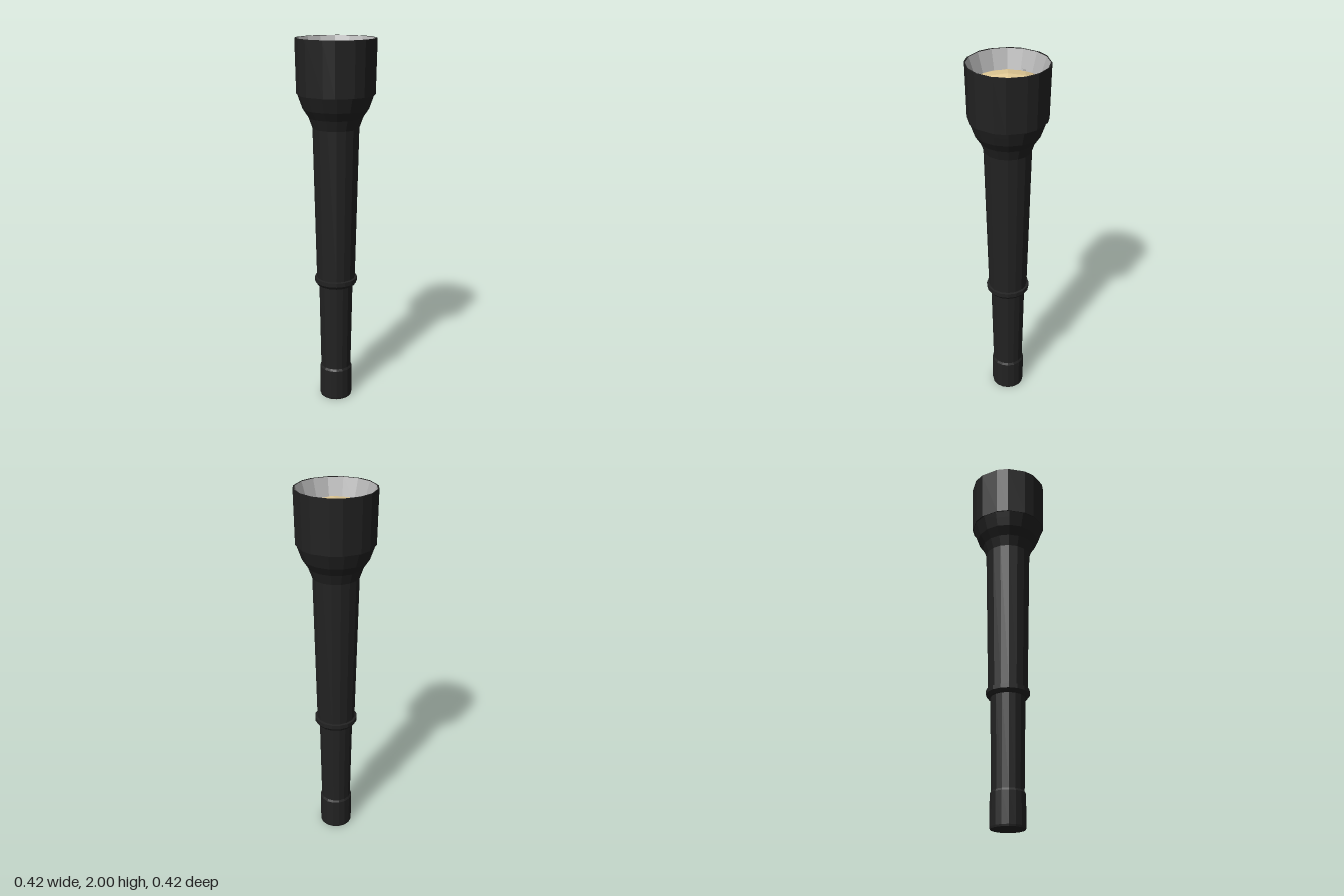
import * as THREE from 'three';

const SIDES = 16;
const deg = THREE.MathUtils.degToRad;

function flatMaterial(name, color) {
  const m = new THREE.MeshStandardMaterial({ color, flatShading: true });
  m.name = name;
  return m;
}

function lathe(points) {
  return new THREE.LatheGeometry(points.map(([r, y]) => new THREE.Vector2(r, y)), SIDES);
}

// Head sleeve: eight wide and eight narrow faces, narrowing slightly downwards
function headGeometry(bottom, top) {
  const outer = [];
  for (let k = 0; k < 8; k++) {
    for (const a of [70, 87]) {
      const t = deg(a + 45 * k);
      outer.push(new THREE.Vector2(0.209 * Math.cos(t), 0.209 * Math.sin(t)));
    }
  }
  const shape = new THREE.Shape(outer);
  const hole = [];
  for (let i = 0; i < SIDES; i++) {
    const t = -deg(22.5 * i);
    hole.push(new THREE.Vector2(0.2025 * Math.cos(t), 0.2025 * Math.sin(t)));
  }
  shape.holes.push(new THREE.Path(hole));
  const g = new THREE.ExtrudeGeometry(shape, { depth: top - bottom, bevelEnabled: false });
  g.rotateX(-Math.PI / 2);
  const p = g.attributes.position;
  for (let i = 0; i < p.count; i++) {
    const s = p.getY(i) < 0.01 ? 0.975 : 1;
    p.setXYZ(i, p.getX(i) * s, p.getY(i) + bottom, p.getZ(i) * s);
  }
  g.computeVertexNormals();
  return g;
}

// Shallow faceted dome with a four-fold diamond pattern
function lensGeometry(radius, base, rise) {
  const verts = [];
  const pt = (r, a) => [
    r * Math.sin(deg(a)),
    base + rise * (1 - (r / radius) ** 2),
    r * Math.cos(deg(a)),
  ];
  const tri = (...corners) => corners.forEach((c) => verts.push(...c));
  for (let k = 0; k < 4; k++) {
    const a = 45 + 90 * k;
    const inner = pt(radius / 2, a), innerNext = pt(radius / 2, a + 90);
    const axis = pt(radius * 0.707, a + 45);
    tri(pt(0, 0), inner, innerNext);
    tri(inner, axis, innerNext);
    tri(inner, pt(radius, a), axis);
    tri(axis, pt(radius, a + 90), innerNext);
    for (let i = 0; i < 4; i++) {
      tri(axis, pt(radius, a + 22.5 * i), pt(radius, a + 22.5 * (i + 1)));
    }
  }
  const g = new THREE.BufferGeometry();
  g.setAttribute('position', new THREE.Float32BufferAttribute(verts, 3));
  g.computeVertexNormals();
  return g;
}

export function createModel() {
  const group = new THREE.Group();
  group.name = 'flashlight';
  const black = flatMaterial('blackBody', 0x222222);
  const silver = flatMaterial('silverReflector', 0xb4b4b4);
  const cream = flatMaterial('creamLens', 0xe2ca96);

  const add = (name, geometry, material) => {
    const mesh = new THREE.Mesh(geometry, material);
    mesh.name = name;
    group.add(mesh);
    return mesh;
  };

  // Handle, from the tail up
  add('tailCap', lathe([[0, 0], [0.088, 0], [0.09, 0.01], [0.09, 0.175], [0.083, 0.187]]), black);
  add('lowerTube', lathe([[0.083, 0.18], [0.092, 0.69]]), black);
  add('collar', lathe([[0.09, 0.68], [0.103, 0.68], [0.116, 0.697], [0.116, 0.72], [0.104, 0.722]]), black);
  add('upperTube', lathe([[0.104, 0.715], [0.122, 1.545]]), black);

  // Flared neck and head
  add('neck', lathe([[0.122, 1.545], [0.142, 1.6], [0.172, 1.645], [0.188, 1.69], [0.1985, 1.72]]), black);
  add('head', headGeometry(1.72, 2), black);

  // Reflector and lens
  add('reflector', lathe([[0.203, 2], [0.17, 1.9]]), silver);
  add('lens', lensGeometry(0.17, 1.9, 0.045), cream);

  // Small stud near the lens edge
  const stud = add('lensStud', new THREE.CylinderGeometry(0.012, 0.012, 0.008, 6), silver);
  stud.position.set(-0.14, 1.915, 0.03);
  stud.rotation.z = 0.4;

  return group;
}
